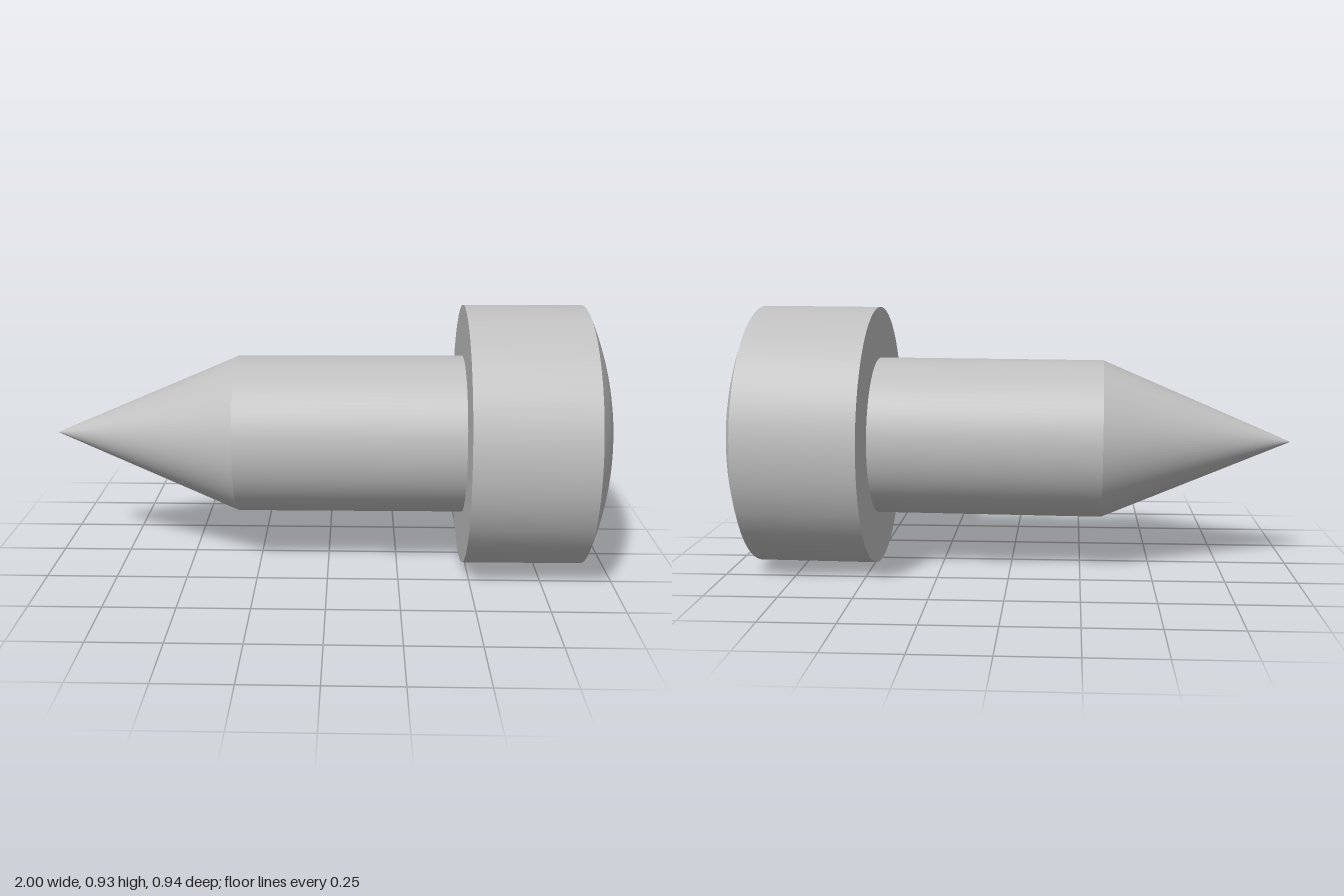
import * as THREE from 'three';
import { toCreasedNormals } from 'three/addons/utils/BufferGeometryUtils.js';

const HEAD_R = 0.4655, HEAD_BACK = -0.209, HEAD_FRONT = 0.21, APEX = 0.314;
const SHAFT_R = 0.283, CONE_START = -1.017, TIP = -1.69, FLOOR = 0.01;

// Height of the domed face at a distance from the axis
function domeX(r) {
  const sag = APEX - HEAD_FRONT;
  const R = (HEAD_R * HEAD_R + sag * sag) / (2 * sag);
  return APEX - R + Math.sqrt(R * R - r * r);
}

// Counter-clockwise cross outline with rounded inner corners
function crossOutline(len, w, f) {
  const arm = [], mix = THREE.MathUtils.lerp;
  for (let i = 0; i < 8; i++) arm.push([len, mix(-w, w, i / 8)]);
  for (let i = 0; i < 6; i++) arm.push([mix(len, w + f, i / 6), w]);
  for (let i = 0; i < 8; i++) {
    const t = (i / 8) * Math.PI / 2;
    arm.push([w + f - f * Math.sin(t), w + f - f * Math.cos(t)]);
  }
  for (let i = 0; i < 6; i++) arm.push([w, mix(w + f, len, i / 6)]);
  const pts = [];
  for (let q = 0; q < 4; q++) {
    const c = [1, 0, -1, 0][q], s = [0, 1, 0, -1][q];
    for (const [u, v] of arm) pts.push([u * c - v * s, u * s + v * c]);
  }
  return pts;
}

// Skin a list of matching closed loops running along the surface
function loft(rows) {
  const pos = [];
  for (let i = 0; i < rows.length - 1; i++) {
    const a = rows[i], b = rows[i + 1], n = a.length;
    for (let j = 0; j < n; j++) {
      const k = (j + 1) % n;
      pos.push(...a[j], ...a[k], ...b[k], ...a[j], ...b[k], ...b[j]);
    }
  }
  const g = new THREE.BufferGeometry();
  g.setAttribute('position', new THREE.Float32BufferAttribute(pos, 3));
  return toCreasedNormals(g, 0.4);
}

function headGeometry() {
  const mouth = crossOutline(0.249, 0.053, 0.05);
  const floor = crossOutline(0.082, 0.037, 0.045);
  const rim = mouth.map(([u, v]) => {
    const r = Math.hypot(u, v);
    return [u / r * HEAD_R, v / r * HEAD_R];
  });
  const at = (loop, x, s = 1) => loop.map(([u, v]) => [x, v * s, -u * s]);
  // Back face and cylindrical side
  const rows = [at(rim, HEAD_BACK, 0), at(rim, HEAD_BACK), at(rim, HEAD_FRONT)];
  // Domed face closing in on the mouth of the recess
  for (let i = 1; i <= 8; i++) {
    rows.push(rim.map(([u, v], j) => {
      const y = THREE.MathUtils.lerp(v, mouth[j][1], i / 8);
      const z = -THREE.MathUtils.lerp(u, mouth[j][0], i / 8);
      return [domeX(Math.hypot(y, z)), y, z];
    }));
  }
  // Tapered recess walls and floor
  rows.push(at(floor, FLOOR), at(floor, FLOOR, 0));
  return loft(rows);
}

export function createModel() {
  const steel = new THREE.MeshStandardMaterial({ color: 0xbfbfbf });
  steel.name = 'steel grey';
  const screw = new THREE.Group();
  screw.name = 'screw';
  const add = (name, geometry) => {
    const mesh = new THREE.Mesh(geometry, steel);
    mesh.name = name;
    screw.add(mesh);
    return mesh;
  };

  add('head', headGeometry());

  // Plain round shaft, set slightly into the head
  const shaftEnd = HEAD_BACK + 0.02, shaftLen = shaftEnd - CONE_START;
  const shaft = new THREE.CylinderGeometry(SHAFT_R, SHAFT_R, shaftLen, 96, 1, true);
  add('shaft', shaft.rotateZ(-Math.PI / 2)).position.x = (shaftEnd + CONE_START) / 2;

  // Pointed tip
  const tip = new THREE.ConeGeometry(SHAFT_R, CONE_START - TIP, 96, 1, true);
  add('tip', tip.rotateZ(Math.PI / 2)).position.x = (CONE_START + TIP) / 2;

  // The screw lies with a very slight tilt and roll
  const axis = new THREE.Vector3(1, 0.007, 0.0114).normalize();
  const xAxis = new THREE.Vector3(1, 0, 0);
  screw.quaternion.setFromUnitVectors(xAxis, axis);
  screw.rotateX(0.009);
  screw.position.set(0.69, 0.468, 0);

  const model = new THREE.Group();
  model.name = 'model';
  model.add(screw);
  return model;
}
